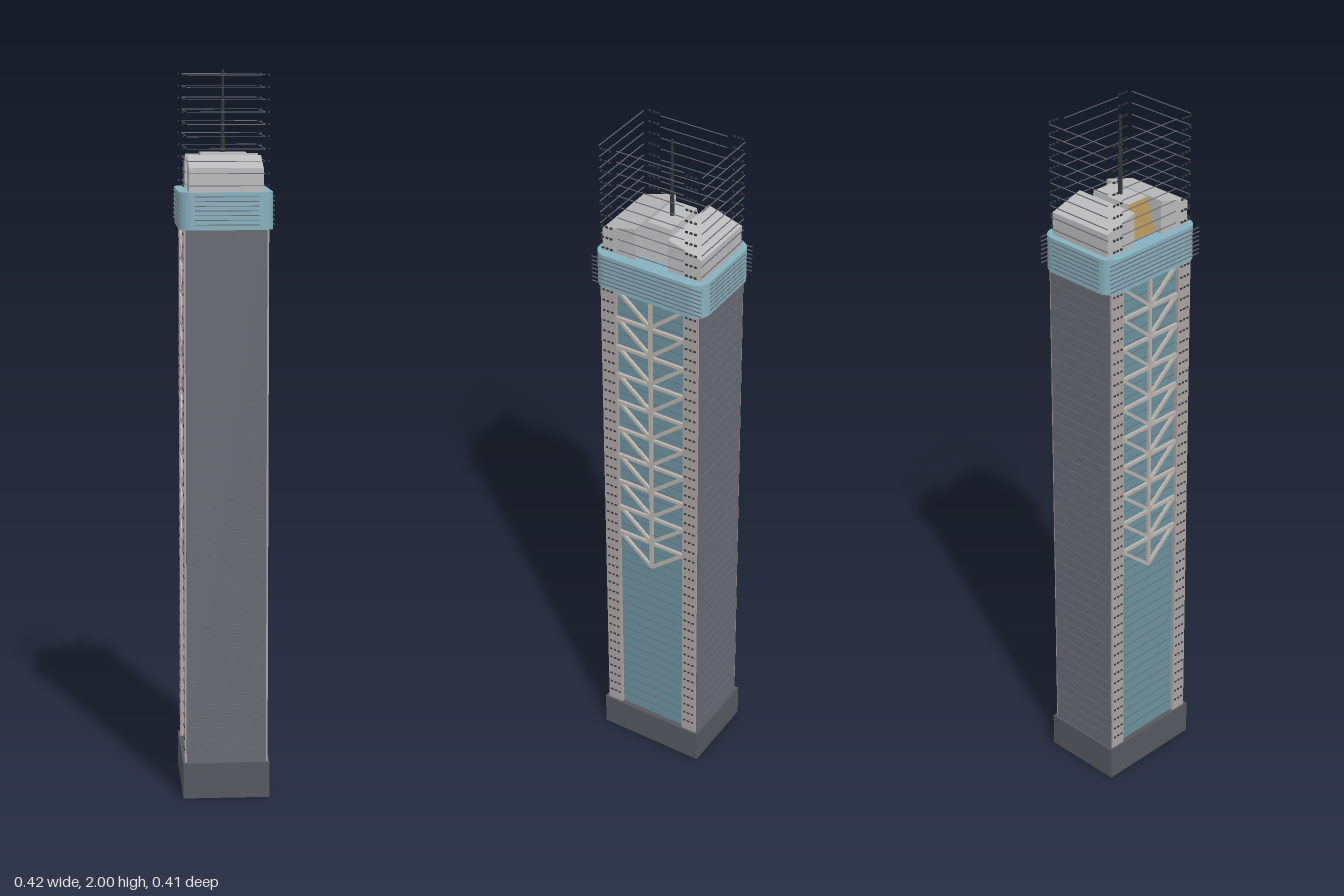
import * as THREE from 'three';
import { mergeGeometries } from 'three/addons/utils/BufferGeometryUtils.js';

const mat = (color) => new THREE.MeshStandardMaterial({ color, flatShading: true });
const M = {
  base: mat(0x565860), wall: mat(0x686873), glass: mat(0x6a909c), column: mat(0xaaa4a2),
  beam: mat(0xb8b0aa), crown: mat(0x86b0bd), roof: mat(0xbababa), dark: mat(0x33363a),
  gold: mat(0xb89a5a),
};

// box geometry with its centre at x, y, z
const boxGeo = (w, h, d, x, y, z) => new THREE.BoxGeometry(w, h, d).translate(x, y, z);

// square bar between two points
function barGeo(a, b, t) {
  const d = b.clone().sub(a);
  const g = new THREE.BoxGeometry(t, d.length(), t);
  g.applyQuaternion(new THREE.Quaternion().setFromUnitVectors(new THREE.Vector3(0, 1, 0), d.normalize()));
  return g.translate((a.x + b.x) / 2, (a.y + b.y) / 2, (a.z + b.z) / 2);
}

// rectangle with rounded corners, hx and hz are half sizes
function roundedRect(hx, hz, r) {
  const s = new THREE.Shape();
  s.absarc(hx - r, hz - r, r, 0, Math.PI / 2);
  s.absarc(-hx + r, hz - r, r, Math.PI / 2, Math.PI);
  s.absarc(-hx + r, -hz + r, r, Math.PI, Math.PI * 1.5);
  s.absarc(hx - r, -hz + r, r, Math.PI * 1.5, Math.PI * 2);
  return s;
}

export function createModel() {
  const model = new THREE.Group();
  model.name = 'tower';
  // the plan is turned 40 degrees; local x runs along the long side
  const tower = new THREE.Group();
  tower.name = 'towerBody';
  tower.rotation.y = THREE.MathUtils.degToRad(40);
  model.add(tower);

  const add = (name, geo, material) => {
    const m = new THREE.Mesh(geo, material);
    m.name = name;
    tower.add(m);
    return m;
  };

  // plinth and shaft
  const bottom = 0.1, top = 1.58, mid = (bottom + top) / 2, height = top - bottom;
  add('base', boxGeo(0.32, 0.1, 0.24, 0, 0.05, 0), M.base);
  add('glassCore', boxGeo(0.29, height, 0.21, 0, mid, 0), M.glass);
  for (const s of [-1, 1]) {
    add('endWall', boxGeo(0.02, height, 0.22, s * 0.142, mid, 0), M.wall);
    for (const t of [-1, 1])
      add('cornerColumn', boxGeo(0.046, height, 0.03, s * 0.127, mid, t * 0.1), M.column);
  }

  // braced truss on both long faces
  const panels = 10, y0 = 0.67, step = (top - y0) / panels, half = 0.104;
  for (const s of [-1, 1]) {
    const z = s * 0.109;
    const P = (x, y) => new THREE.Vector3(x, y, z);
    const bars = [barGeo(P(0, y0), P(0, top), 0.009)];
    for (let i = 0; i < panels; i++) {
      const lo = y0 + i * step, hi = lo + step;
      bars.push(barGeo(P(-half, hi - 0.004), P(half, hi - 0.004), 0.009));
      for (const e of [-1, 1]) bars.push(barGeo(P(e * half, hi - 0.004), P(0, lo), 0.009));
    }
    add('truss', mergeGeometries(bars), M.beam);
  }

  // floor lines and small column windows, carried up past the roof
  const lines = [], windows = [];
  const floors = 58, floorStep = 0.0325;
  for (let i = 0; i < floors; i++) {
    const y = 0.135 + i * floorStep;
    for (const s of [-1, 1]) {
      lines.push(boxGeo(0.002, 0.002, 0.21, s * 0.1525, y, 0));
      lines.push(boxGeo(0.2, 0.0015, 0.002, 0, y, s * 0.1055));
      for (const t of [-1, 1])
        for (const k of [-1, 0, 1])
          windows.push(boxGeo(0.007, 0.005, 0.003, t * 0.127 + k * 0.013, y, s * 0.115));
    }
  }
  add('floorLines', mergeGeometries(lines), M.wall);
  add('columnWindows', mergeGeometries(windows), M.dark);

  // rounded crown
  const crown = new THREE.ExtrudeGeometry(roundedRect(0.168, 0.127, 0.04),
    { depth: 0.1, bevelEnabled: false, curveSegments: 8 });
  crown.rotateX(-Math.PI / 2).translate(0, 1.578, 0);
  add('crown', crown, M.crown);

  // thin louvers around the crown
  const louvers = [];
  for (let i = 0; i < 7; i++) {
    const y = 1.592 + i * 0.0125;
    for (const s of [-1, 1]) {
      louvers.push(boxGeo(0.334, 0.002, 0.002, 0, y, s * 0.128));
      louvers.push(boxGeo(0.002, 0.002, 0.174, s * 0.1685, y, 0));
    }
  }
  add('crownLouvers', mergeGeometries(louvers), M.wall);

  // sloped roof blocks at both ends
  const profile = new THREE.Shape([[0.05, 1.67], [0.15, 1.67], [0.15, 1.742], [0.05, 1.772]]
    .map(([x, y]) => new THREE.Vector2(x, y)));
  for (const s of [0, 1]) {
    const g = new THREE.ExtrudeGeometry(profile, { depth: 0.2, bevelEnabled: false });
    g.translate(0, 0, -0.1).rotateY(s * Math.PI);
    add('roofBlock', g, M.roof);
  }

  // tapered penthouse between them
  const house = boxGeo(0.097, 0.108, 0.154, 0, 1.724, 0);
  const p = house.attributes.position;
  for (let i = 0; i < p.count; i++)
    if (p.getY(i) > 1.724) p.setXYZ(i, p.getX(i) * 0.74, p.getY(i), p.getZ(i) * 0.81);
  house.computeVertexNormals();
  add('penthouse', house, M.roof);

  // gold panel lying on the rear slope
  const panel = new THREE.BufferGeometry();
  panel.setAttribute('position', new THREE.Float32BufferAttribute([
    0.048, 1.678, -0.0775, -0.048, 1.678, -0.0775, -0.036, 1.777, -0.0635, 0.036, 1.777, -0.0635], 3));
  panel.setIndex([0, 1, 2, 0, 2, 3]);
  panel.computeVertexNormals();
  add('rearPanel', panel, M.gold).material.side = THREE.DoubleSide;

  // mast
  add('mast', new THREE.CylinderGeometry(0.003, 0.006, 0.225, 8).translate(0, 1.8875, 0), M.dark);

  return model;
}
